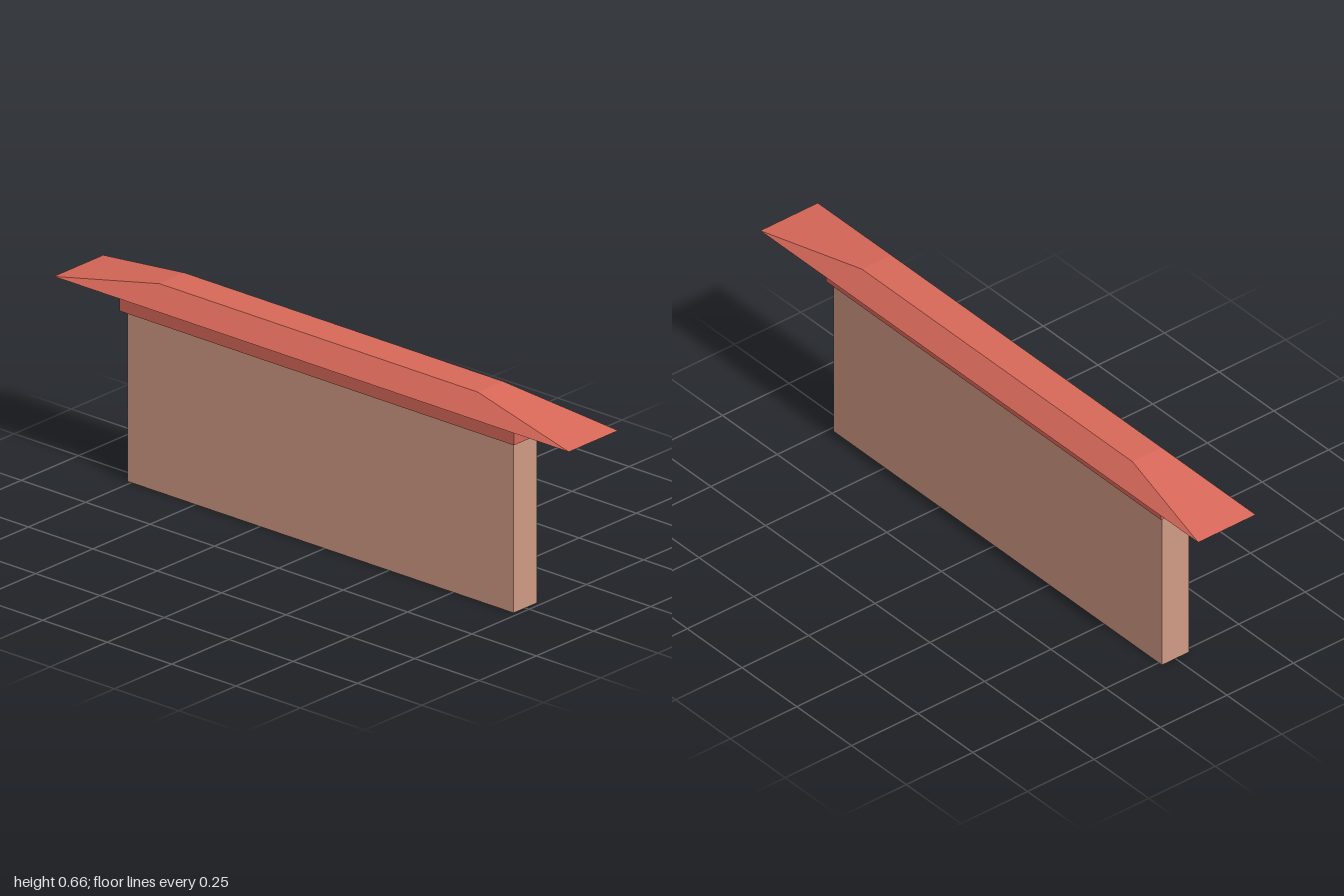
import * as THREE from 'three';

export function createModel() {
  const group = new THREE.Group();
  const plaster = new THREE.MeshStandardMaterial({ color: 0xd19b85, flatShading: true });
  const tile = new THREE.MeshStandardMaterial({ color: 0xd9695a, flatShading: true });

  // Box given by half width and its y and z ranges
  function block(name, halfX, y0, y1, z0, z1, material) {
    const geometry = new THREE.BoxGeometry(halfX * 2, y1 - y0, z1 - z0);
    geometry.translate(0, (y0 + y1) / 2, (z0 + z1) / 2);
    const mesh = new THREE.Mesh(geometry, material);
    mesh.name = name;
    group.add(mesh);
    return mesh;
  }

  block('wall', 0.051, 0, 0.536, -0.765, 0.735, plaster);
  block('corniceBand', 0.067, 0.536, 0.597, -0.781, 0.75, tile);

  // Hipped coping: the top face is drawn in to a narrow, slightly off-centre ridge
  const coping = block('copingRoof', 0.108, 0.597, 0.658, -1, 1, tile);
  const p = coping.geometry.attributes.position;
  for (let i = 0; i < p.count; i++) {
    if (p.getY(i) < 0.63) continue;
    p.setX(i, Math.sign(p.getX(i)) * 0.055);
    p.setZ(i, p.getZ(i) > 0 ? 0.6 : -0.636);
  }
  coping.geometry.computeVertexNormals();

  return group;
}
